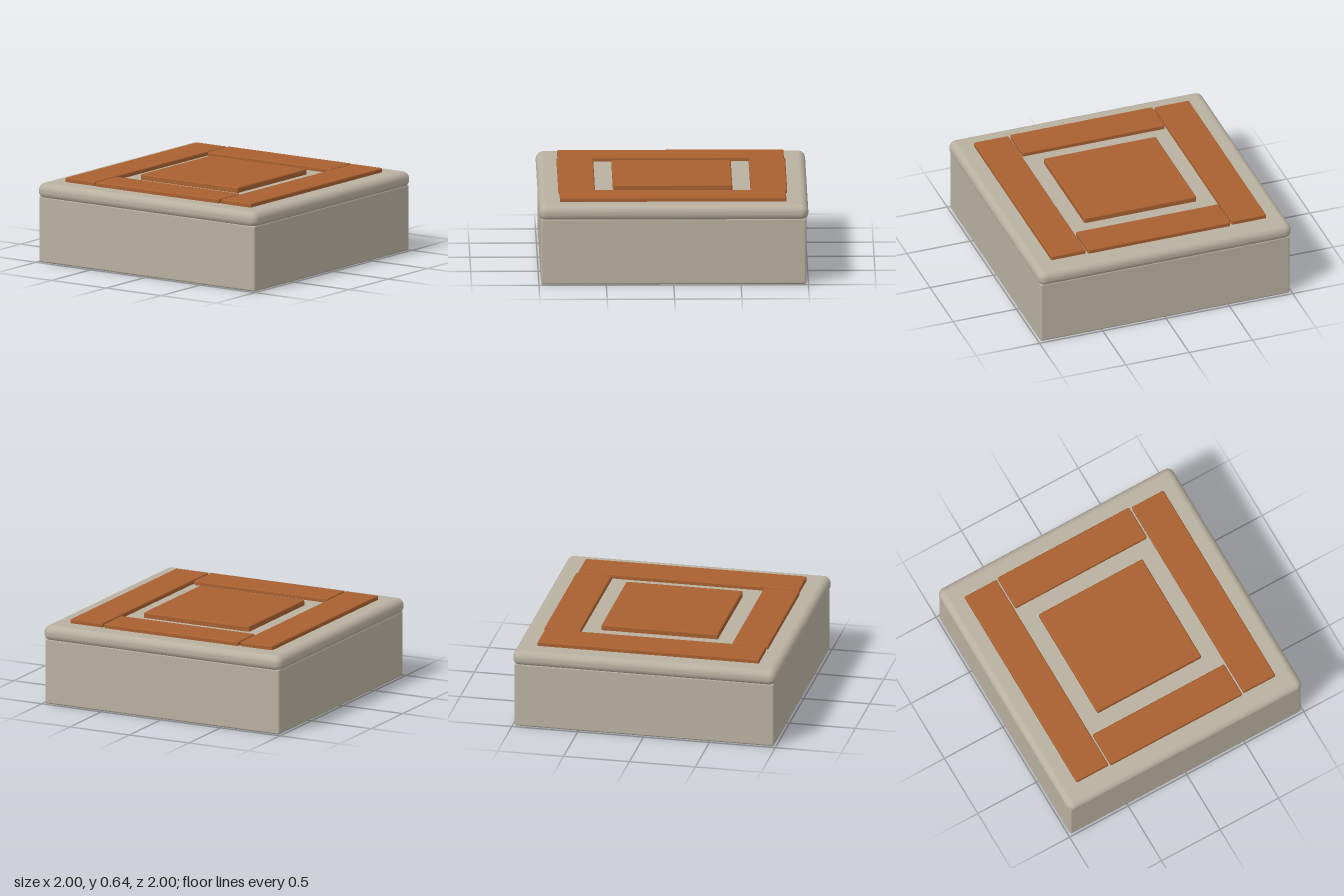
import * as THREE from 'three';
import { RoundedBoxGeometry } from 'three/addons/geometries/RoundedBoxGeometry.js';

const stone = new THREE.MeshStandardMaterial({ color: 0xb8b0a0 });
const clay = new THREE.MeshStandardMaterial({ color: 0xa86030 });

// Rounded block given by its extents on each axis
function block(name, material, [x0, x1], [y0, y1], [z0, z1], radius, segments = 3) {
  const geometry = new RoundedBoxGeometry(x1 - x0, y1 - y0, z1 - z0, segments, radius);
  const mesh = new THREE.Mesh(geometry, material);
  mesh.position.set((x0 + x1) / 2, (y0 + y1) / 2, (z0 + z1) / 2);
  mesh.name = name;
  return mesh;
}

export function createModel() {
  const model = new THREE.Group();
  model.name = 'tiledPlinth';

  // Stone body and the wider, softly rounded cap slab
  model.add(block('base', stone, [-0.985, 0.985], [0, 0.5], [-0.985, 0.985], 0.015));
  model.add(block('capSlab', stone, [-1, 1], [0.48, 0.6], [-1, 1], 0.055, 4));

  // Border tiles: long ones at front and back, shorter ones between them
  const border = new THREE.Group();
  border.name = 'borderTiles';
  const height = [0.585, 0.632];
  for (const side of [-1, 1]) {
    const span = side < 0 ? [-0.85, -0.578] : [0.576, 0.848];
    border.add(block(side < 0 ? 'backTile' : 'frontTile', clay, [-0.842, 0.838], height, span, 0.01));
    border.add(block(side < 0 ? 'rightTile' : 'leftTile', clay, span, height, [-0.564, 0.56], 0.01));
  }
  model.add(border);

  // Slightly raised square tile in the middle
  model.add(block('centreTile', clay, [-0.444, 0.442], [0.585, 0.642], [-0.444, 0.442], 0.012));
  return model;
}
